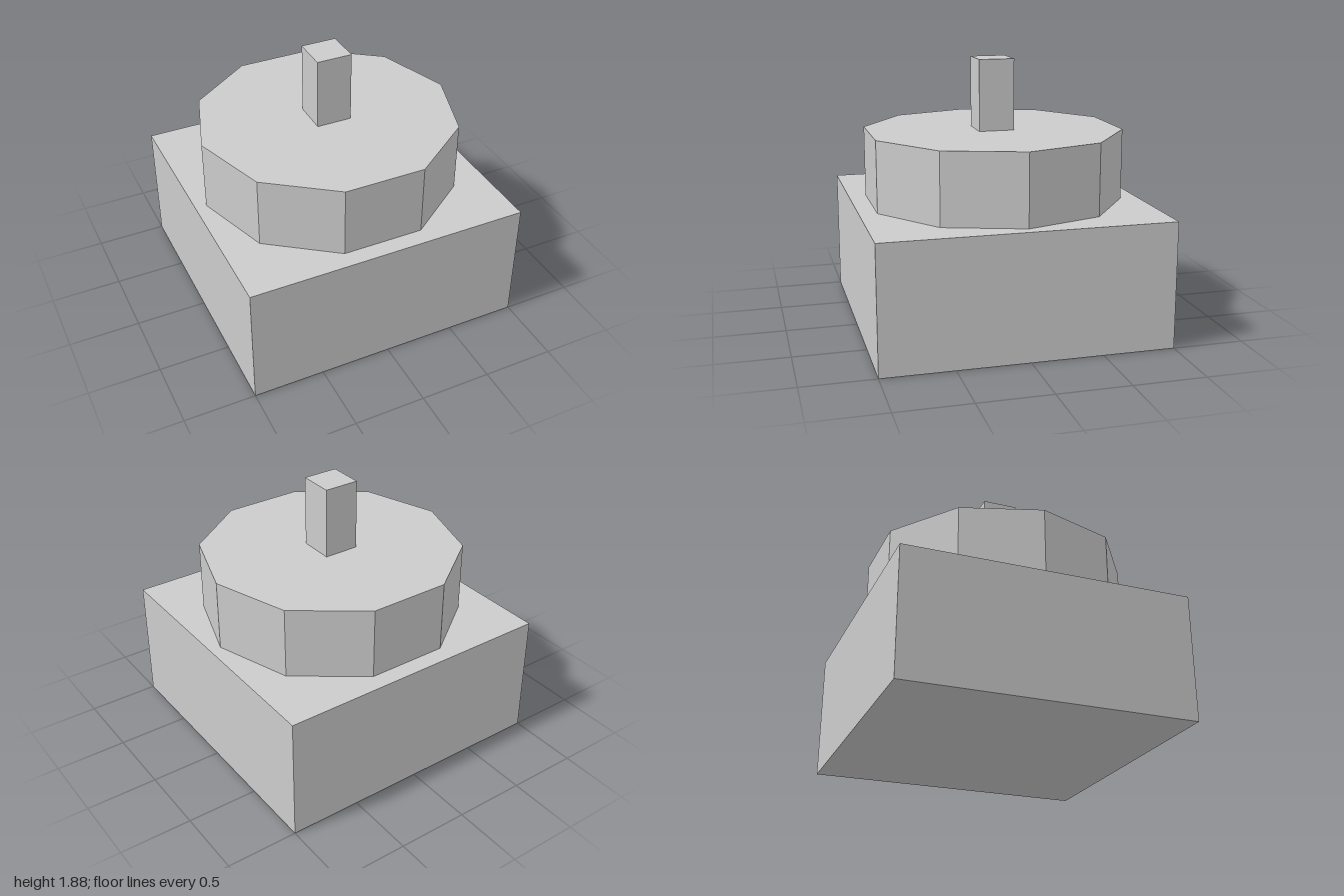
import * as THREE from 'three';

export function createModel() {
  const model = new THREE.Group();
  const material = new THREE.MeshStandardMaterial({ color: 0xcccccc, flatShading: true });

  // Adds a part whose underside sits at the given height
  const addPart = (name, geometry, height, bottom) => {
    const mesh = new THREE.Mesh(geometry, material);
    mesh.name = name;
    mesh.position.y = bottom + height / 2;
    model.add(mesh);
  };

  const baseHeight = 0.88;
  const tierHeight = 0.5;
  const postHeight = 0.5;

  // Square base block
  addPart('base', new THREE.BoxGeometry(2, baseHeight, 2), baseHeight, 0);

  // Ten-sided drum, with corners pointing along x
  const drum = new THREE.CylinderGeometry(0.92, 0.92, tierHeight, 10).rotateY(Math.PI / 2);
  addPart('drum', drum, tierHeight, baseHeight);

  // Square post on top
  addPart('post', new THREE.BoxGeometry(0.25, postHeight, 0.25), postHeight, baseHeight + tierHeight);

  return model;
}
